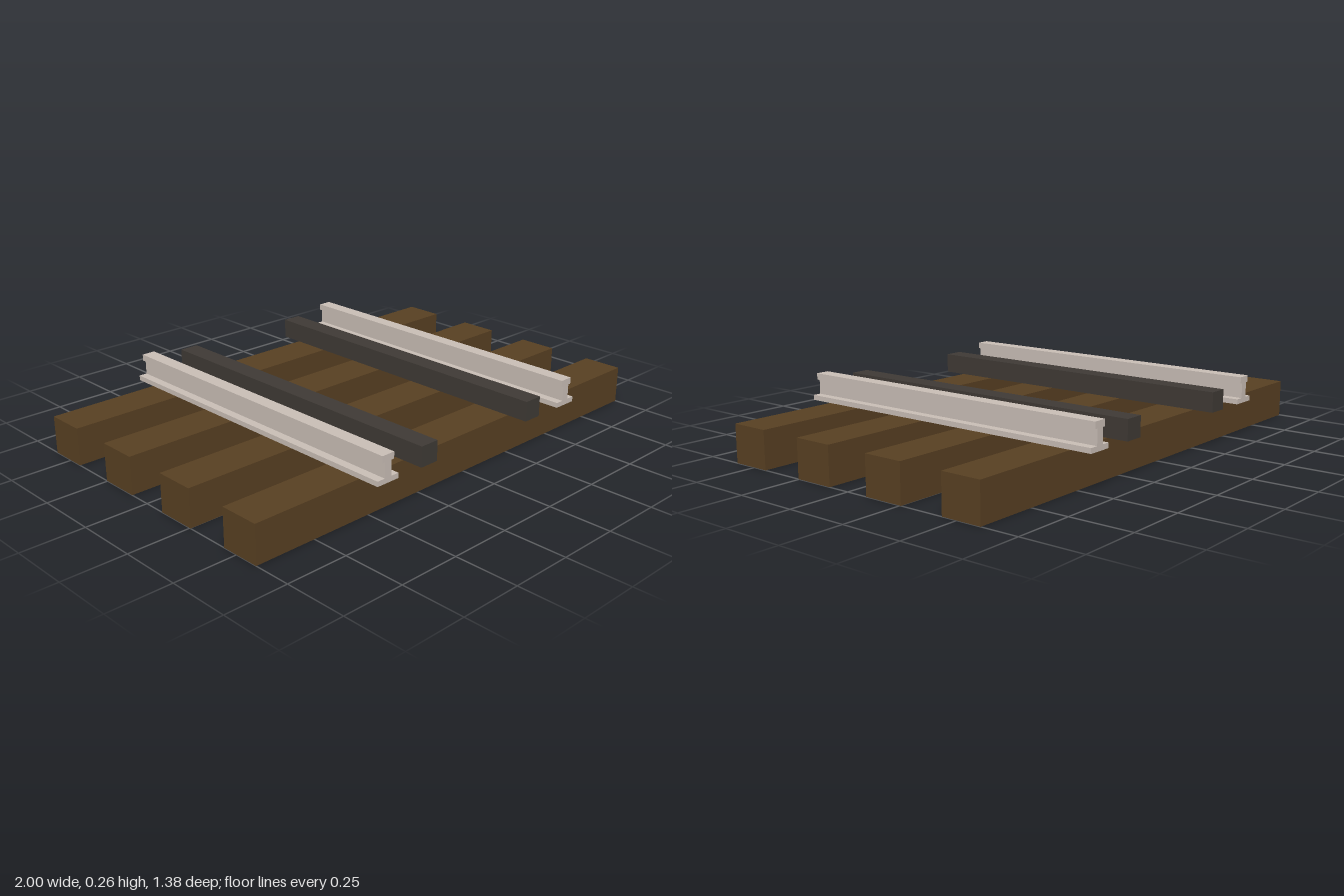
import * as THREE from 'three';

export function createModel() {
  const wood = new THREE.MeshStandardMaterial({ color: 0x584022 });
  wood.name = 'brown wood';
  const steel = new THREE.MeshStandardMaterial({ color: 0xc9beb6 });
  steel.name = 'pale steel';
  const iron = new THREE.MeshStandardMaterial({ color: 0x3f3a35 });
  iron.name = 'dark iron';

  const model = new THREE.Group();
  model.name = 'railwayTrack';
  const length = 1.378;
  const bed = 0.153; // underside of the rails

  const add = (name, geometry, material, x, y, z) => {
    const mesh = new THREE.Mesh(geometry, material);
    mesh.name = name;
    mesh.position.set(x, y, z);
    model.add(mesh);
  };

  // Four sleepers lying across the track
  const sleeper = new THREE.BoxGeometry(2, 0.151, 0.163);
  for (let i = 0; i < 4; i++) {
    add('sleeper' + (i + 1), sleeper, wood, 0, 0.0755, 0.518 - i * 0.3453);
  }

  // I-shaped rail: half section [x, y] from foot to head, mirrored
  const half = [
    [0.05, 0], [0.05, 0.02], [0.016, 0.02],
    [0.016, 0.08], [0.028, 0.08], [0.028, 0.106],
  ];
  const section = [...half, ...half.map(([x, y]) => [-x, y]).reverse()];
  const shape = new THREE.Shape(section.map(([x, y]) => new THREE.Vector2(x, y)));
  const rail = new THREE.ExtrudeGeometry(shape, { depth: length, bevelEnabled: false });
  rail.translate(0, 0, -length / 2);

  // Square guard bar inside each rail
  const guard = new THREE.BoxGeometry(0.08, 0.08, length);
  for (const [side, s] of [['left', 1], ['right', -1]]) {
    add(side + 'Rail', rail, steel, s * 0.495, bed, 0);
    add(side + 'GuardBar', guard, iron, s * 0.29, bed + 0.04, 0);
  }
  return model;
}
